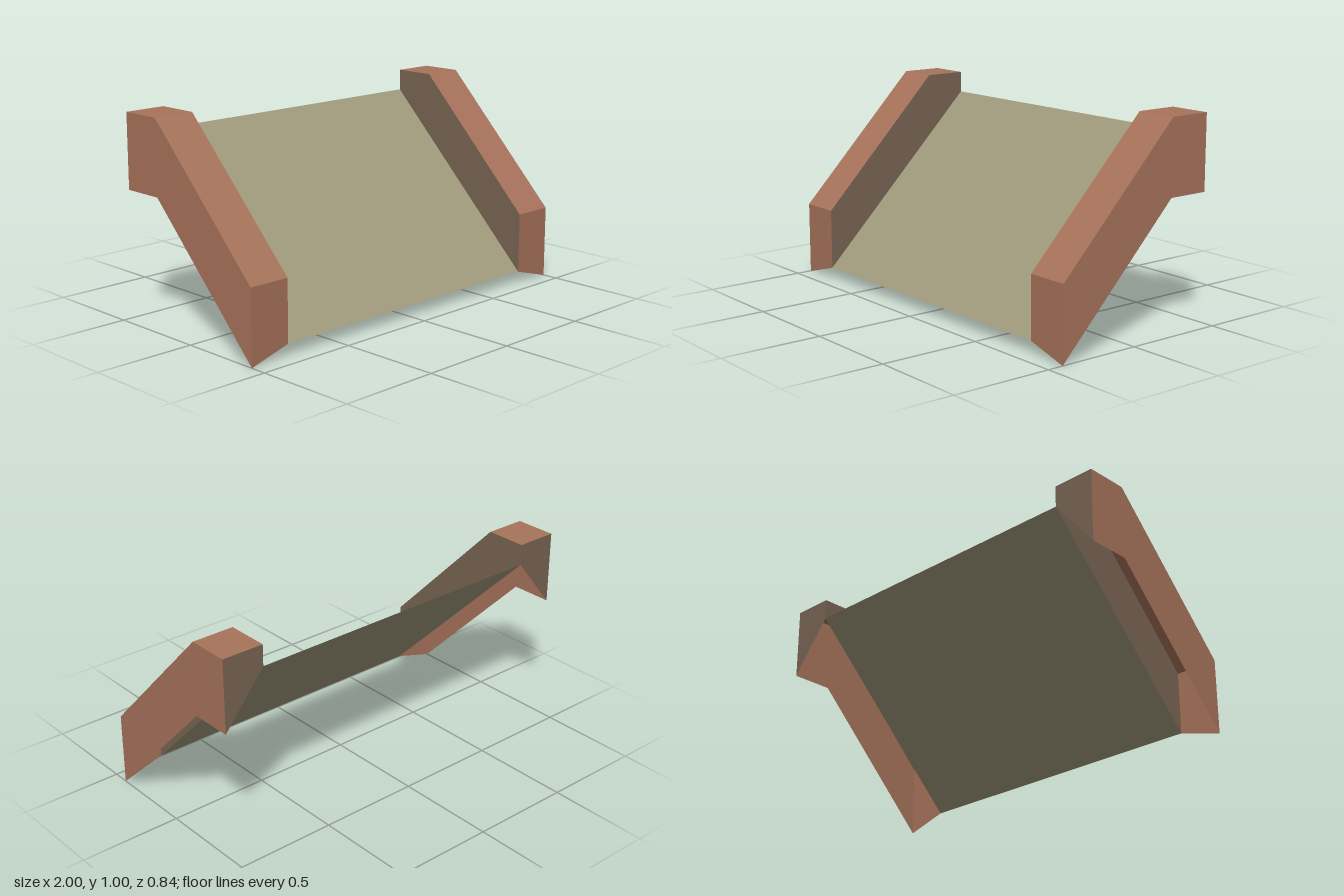
import * as THREE from 'three';

const makeMaterial = (name, color) => {
  const m = new THREE.MeshStandardMaterial({ color, side: THREE.DoubleSide, flatShading: true });
  m.name = name;
  return m;
};

// Flat polygon fanned from its first corner
function face(name, corners, material, mirrored = false) {
  const pts = corners.map(([x, y, z]) => new THREE.Vector3(mirrored ? -x : x, y, z));
  if (mirrored) pts.push(...pts.splice(1).reverse());
  const tris = [];
  for (let i = 1; i < pts.length - 1; i++) tris.push(pts[0], pts[i], pts[i + 1]);
  const geometry = new THREE.BufferGeometry().setFromPoints(tris);
  geometry.computeVertexNormals();
  const mesh = new THREE.Mesh(geometry, material);
  mesh.name = name;
  return mesh;
}

export function createModel() {
  const brick = makeMaterial('brick brown', 0xa8735b);
  const stone = makeMaterial('grey brown', 0x796554);
  const olive = makeMaterial('olive ramp', 0xa09a7c);

  const inX = 0.79, outX = 1, front = 0.42, back = -0.42, bend = -0.21;
  const top = 1.005, railFront = 0.36, railBack = 0.643;
  const rampLow = 0.06, rampHigh = 0.9;

  const model = new THREE.Group();
  model.name = 'ramp';

  // Thin sloping deck
  model.add(face('deck', [
    [-inX, rampLow, front], [inX, rampLow, front],
    [inX, rampHigh, back], [-inX, rampHigh, back],
  ], olive));

  // Side rails, hollow and open underneath
  for (const mirrored of [false, true]) {
    const rail = new THREE.Group();
    rail.name = mirrored ? 'rightRail' : 'leftRail';
    const add = (name, corners, material) => rail.add(face(name, corners, material, mirrored));

    add('outerWall', [
      [outX, railBack, bend], [outX, railBack, back], [outX, top, back],
      [outX, top, bend], [outX, railFront, front], [outX, 0, front],
    ], brick);
    add('innerWall', [
      [inX, top, bend], [inX, top, back], [inX, rampHigh, back],
      [inX, rampLow, front], [inX, railFront, front],
    ], stone);
    add('frontEnd', [
      [inX, rampLow, front], [outX, 0, front], [outX, railFront, front], [inX, railFront, front],
    ], brick);
    add('slopingTop', [
      [inX, railFront, front], [outX, railFront, front], [outX, top, bend], [inX, top, bend],
    ], brick);
    add('flatTop', [
      [inX, top, bend], [outX, top, bend], [outX, top, back], [inX, top, back],
    ], brick);
    add('backEnd', [
      [outX, railBack, back], [inX, rampHigh, back], [inX, top, back], [outX, top, back],
    ], stone);
    model.add(rail);
  }
  return model;
}
